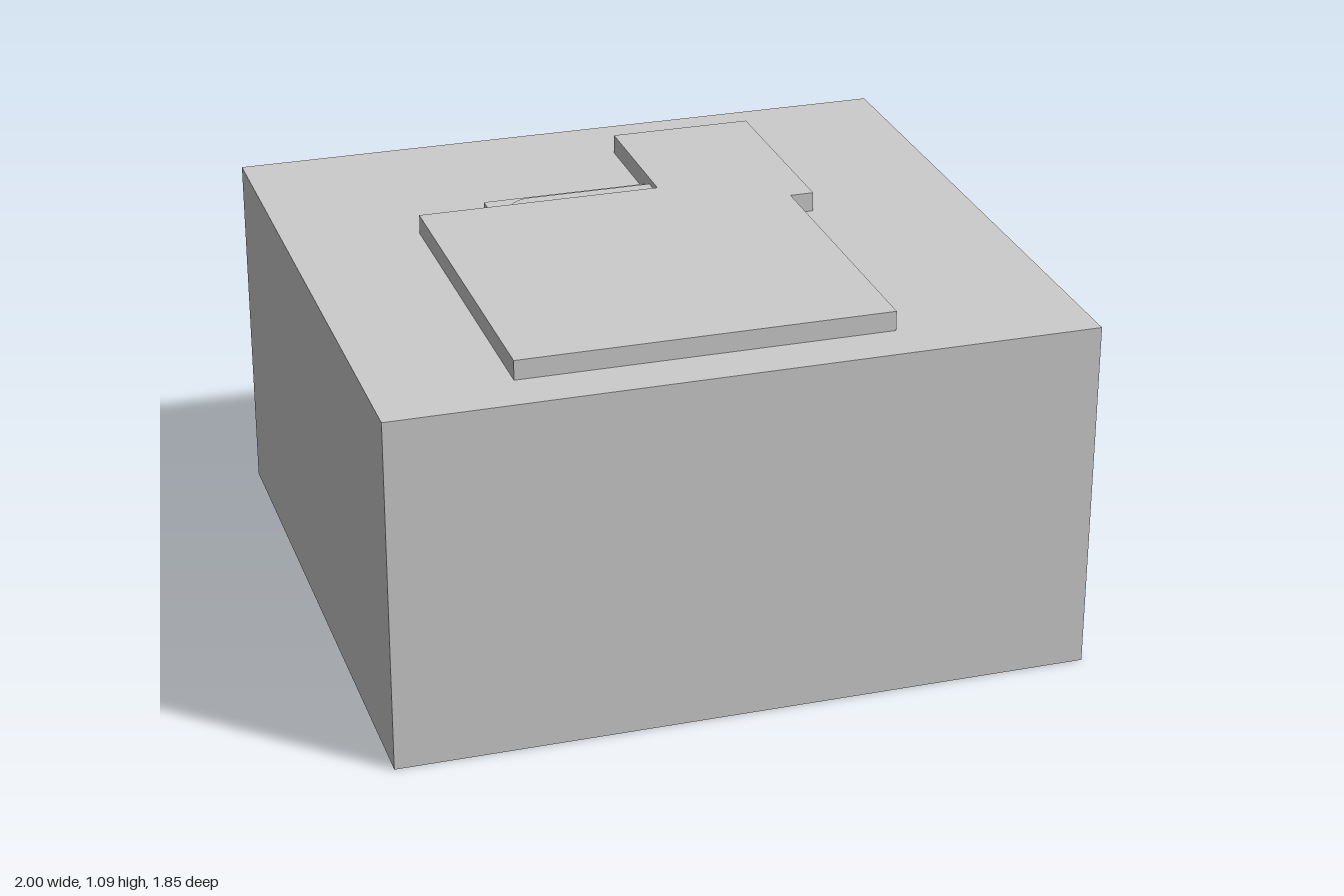
import * as THREE from 'three';

const material = new THREE.MeshStandardMaterial({ color: 0xcccccc, flatShading: true });

// Extrudes a plan outline (x, -z) upward from y = bottom to y = top
function addSlab(group, name, shape, bottom, top) {
  const geometry = new THREE.ExtrudeGeometry(shape, {
    depth: top - bottom, bevelEnabled: false, curveSegments: 10,
  });
  geometry.rotateX(-Math.PI / 2);
  geometry.translate(0, bottom, 0);
  const mesh = new THREE.Mesh(geometry, material);
  mesh.name = name;
  group.add(mesh);
}

const outline = (points) => new THREE.Shape(points.map(([x, z]) => new THREE.Vector2(x, -z)));

export function createModel() {
  const group = new THREE.Group();
  group.name = 'buildingOnBlock';
  const ground = 1.035;

  // Solid ground block
  const base = new THREE.Mesh(new THREE.BoxGeometry(2, ground, 1.846), material);
  base.name = 'groundBlock';
  base.position.y = ground / 2;
  group.add(base);

  // Raised floor plan with a wing at the back
  addSlab(group, 'floorSlab', outline([
    [-0.61, 0.777], [0.46, 0.777], [0.46, -0.09], [0.53, -0.09],
    [0.53, -0.705], [0.107, -0.705], [0.107, -0.262], [-0.61, -0.262],
  ]), ground, 1.092);

  // Lower step in the inner corner
  addSlab(group, 'lowerStep', outline([
    [-0.385, -0.262], [0.107, -0.262], [0.107, -0.392], [-0.385, -0.392],
  ]), ground, 1.054);

  // Upper step with one rounded corner
  const upper = new THREE.Shape();
  upper.moveTo(-0.337, 0.262);
  upper.lineTo(0.107, 0.262);
  upper.lineTo(0.107, 0.342);
  upper.lineTo(-0.257, 0.342);
  upper.absarc(-0.257, 0.262, 0.08, Math.PI / 2, Math.PI, false);
  addSlab(group, 'upperStep', upper, 1.054, 1.073);

  return group;
}
